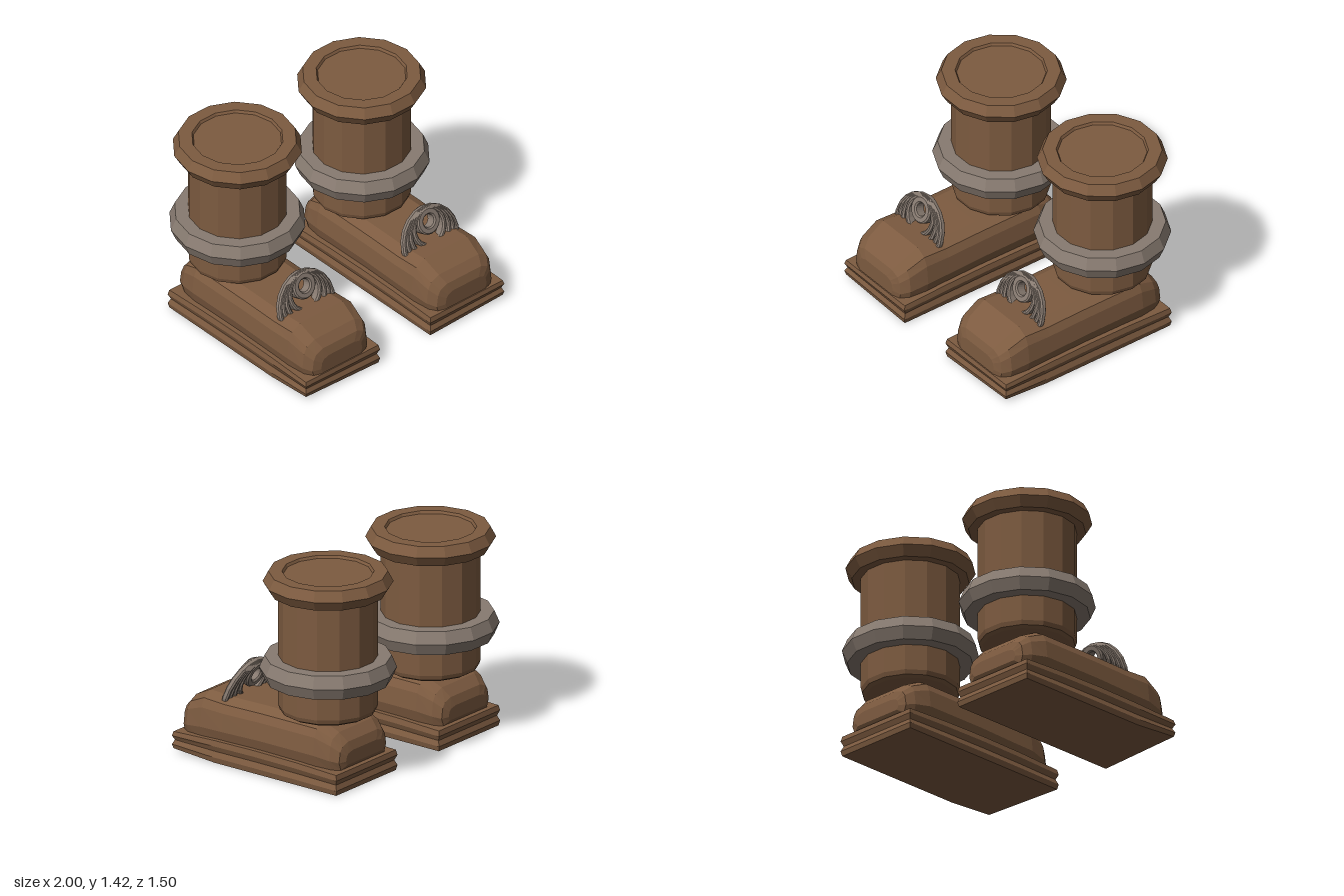
import * as THREE from 'three';

const SIDES = 14;
const brown = new THREE.MeshStandardMaterial({ color: 0x7d5b40 });
brown.name = 'brown leather';
const grey = new THREE.MeshStandardMaterial({ color: 0x887b71 });
grey.name = 'grey metal';

// Faceted mesh with a flat normal per face
function part(name, geometry, material) {
  const g = geometry.index ? geometry.toNonIndexed() : geometry;
  g.computeVertexNormals();
  const mesh = new THREE.Mesh(g, material);
  mesh.name = name;
  return mesh;
}

// Faceted turned shape with a corner on the x axis
function turned(profile, sides = SIDES) {
  const points = profile.map(([r, y]) => new THREE.Vector2(r, y));
  return new THREE.LatheGeometry(points, sides, Math.PI / 2);
}

// Foot: one rounded cross-section swept from heel to toe
function footGeometry() {
  const half = [[0.92, 0], [1, 0.3], [0.95, 0.7], [0.86, 0.88], [0.62, 1]];
  const outline = [...half, ...half.slice().reverse().map(([x, y]) => [-x, y])];
  // z, half width, bottom, top
  const sections = [
    [-0.62, 0.20, 0.18, 0.27], [-0.60, 0.25, 0.15, 0.33], [-0.54, 0.28, 0.14, 0.39],
    [-0.42, 0.30, 0.14, 0.445], [0.05, 0.30, 0.14, 0.445], [0.35, 0.30, 0.13, 0.44],
    [0.53, 0.30, 0.12, 0.452], [0.66, 0.28, 0.12, 0.385], [0.715, 0.24, 0.12, 0.33],
    [0.735, 0.18, 0.15, 0.27],
  ];
  const n = outline.length, positions = [], index = [];
  for (const [z, w, low, high] of sections)
    for (const [x, y] of outline) positions.push(x * w, low + y * (high - low), z);
  for (let i = 0; i < sections.length - 1; i++)
    for (let j = 0; j < n; j++) {
      const a = i * n + j, b = i * n + (j + 1) % n;
      index.push(a, b, b + n, a, b + n, a + n);
    }
  const last = (sections.length - 1) * n;
  for (let j = 1; j < n - 1; j++) {
    index.push(0, j + 1, j);
    index.push(last, last + j, last + j + 1);
  }
  const g = new THREE.BufferGeometry();
  g.setAttribute('position', new THREE.Float32BufferAttribute(positions, 3));
  g.setIndex(index);
  return g;
}

// Sole: slab with a shallow groove round its edge and a slightly bowed top
function soleGeometry(side) {
  const g = new THREE.BoxGeometry(2, 2, 2, 2, 4, 4);
  const p = g.attributes.position;
  for (let i = 0; i < p.count; i++) {
    const x = p.getX(i), t = p.getY(i), z = p.getZ(i);
    const inset = Math.abs(t) === 0.5 ? 0 : t === 0 ? 0.015 : 0.008;
    const top = 0.142 + 0.018 * (1 - z * z);
    const toeLift = z === 1 ? 0.012 * (1 + x * side) : 0;
    p.setXYZ(i, x * (0.325 - inset),
      0.003 + (t + 1) / 2 * top + toeLift * (1 - t) / 2,
      0.055 + z * (0.692 - inset));
  }
  return g;
}

// Buckle: nested bevelled rings gathered at the top like a shell
function buckle() {
  const group = new THREE.Group();
  group.name = 'buckle';
  [0.24, 0.21, 0.178, 0.142, 0.095].forEach((outer, i) => {
    const inner = outer - (i === 4 ? 0.05 : 0.032);
    const h = 0.022 + i * 0.005, bevel = 0.01;
    const ring = turned([
      [inner, -h + bevel], [inner + bevel, -h], [outer - bevel, -h], [outer, -h + bevel],
      [outer, h - bevel], [outer - bevel, h], [inner + bevel, h], [inner, h - bevel],
      [inner, -h + bevel],
    ], 20);
    ring.rotateX(Math.PI / 2);
    const mesh = part('buckleRing', ring, grey);
    mesh.position.y = 0.258 - i * 0.002 - outer;
    group.add(mesh);
  });
  group.position.set(0, 0.42, 0.38);
  group.rotation.x = -0.34;
  return group;
}

function boot(side) {
  const group = new THREE.Group();
  group.name = side > 0 ? 'leftBoot' : 'rightBoot';
  group.position.x = side * 0.545;

  // Shaft, ankle band and top cuff share one upright axis
  const leg = new THREE.Group();
  leg.name = 'leg';
  leg.position.z = -0.31;
  leg.add(
    part('shaft', turned([[0, 0.44], [0.295, 0.44], [0.32, 0.455], [0.33, 0.485], [0.33, 1.3]]), brown),
    part('ankleBand', turned([[0.32, 0.665], [0.42, 0.665], [0.455, 0.747], [0.42, 0.83], [0.32, 0.83]]), grey),
    part('cuff', turned([[0.32, 1.28], [0.39, 1.28], [0.432, 1.35], [0.395, 1.42],
      [0.305, 1.42], [0.295, 1.402], [0, 1.402]]), brown),
  );

  group.add(leg, part('foot', footGeometry(), brown), part('sole', soleGeometry(side), brown), buckle());
  return group;
}

export function createModel() {
  const model = new THREE.Group();
  model.name = 'pairOfBoots';
  for (const side of [1, -1]) model.add(boot(side));
  return model;
}
